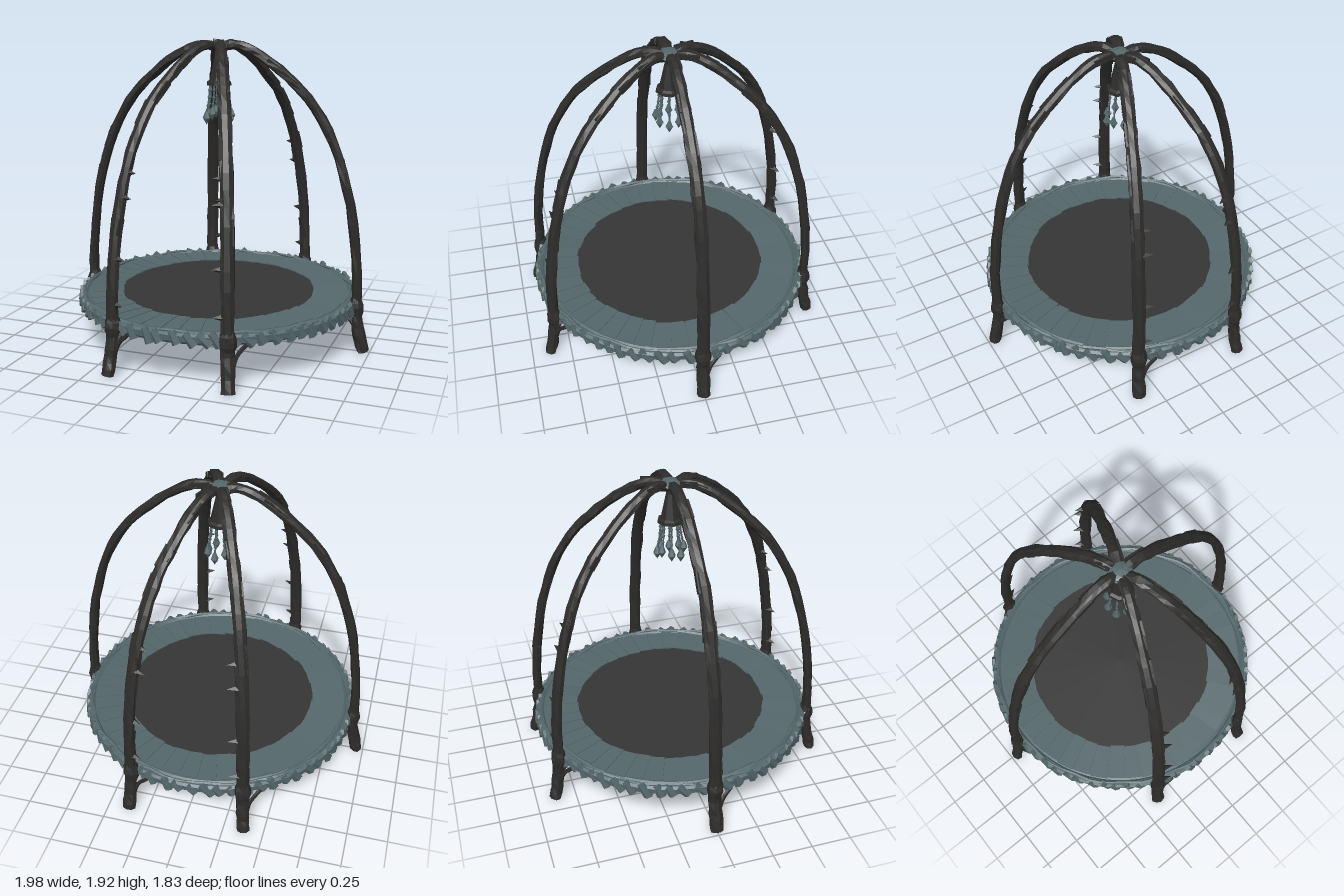
import * as THREE from 'three';

const wood = new THREE.MeshStandardMaterial({ color: 0x2d2c2b });
const leaf = new THREE.MeshStandardMaterial({ color: 0x54676a });
const fabric = new THREE.MeshStandardMaterial({ color: 0x353535 });
wood.name = 'dark bark';
leaf.name = 'grey teal leaf';
fabric.name = 'charcoal fabric';

// Small seeded generator for the hand-carved irregularity
let seed = 7;
const rand = (a, b) => {
  seed = (seed * 16807) % 2147483647;
  return a + (b - a) * (seed / 2147483647);
};

// Faceted mesh: unshared corners give flat faces
function part(name, geo, mat, parent, pos = [0, 0, 0], rot = [0, 0, 0]) {
  const g = geo.index ? geo.toNonIndexed() : geo;
  g.computeVertexNormals();
  const mesh = new THREE.Mesh(g, mat);
  mesh.name = name;
  mesh.position.set(...pos);
  mesh.rotation.set(...rot);
  parent.add(mesh);
  return mesh;
}

// Knobbly branch: sweeps an uneven polygon along a curve; size(t) = [in-plane, sideways] radius
function branch(points, size, rings, sides, wobble) {
  const curve = new THREE.CatmullRomCurve3(points.map((p) => new THREE.Vector3(...p)));
  const pos = [], idx = [];
  const up = new THREE.Vector3(0, 0, 1);
  const first = curve.getTangent(0);
  if (Math.abs(first.z) > 0.5) up.set(1, 0, 0);
  for (let i = 0; i <= rings; i++) {
    const t = i / rings;
    const c = curve.getPoint(t), tan = curve.getTangent(t);
    const n = new THREE.Vector3().crossVectors(up, tan).normalize();
    const b = new THREE.Vector3().crossVectors(tan, n);
    const [rn, rb] = size(t);
    for (let j = 0; j < sides; j++) {
      const a = (j / sides) * Math.PI * 2 + 0.3;
      const k = 1 + rand(-wobble, wobble);
      const v = c.clone().addScaledVector(n, Math.cos(a) * rn * k).addScaledVector(b, Math.sin(a) * rb * k);
      pos.push(v.x, Math.max(0, v.y), v.z);
    }
  }
  for (let i = 0; i < rings; i++) {
    for (let j = 0; j < sides; j++) {
      const a = i * sides + j, b = i * sides + ((j + 1) % sides);
      idx.push(a, b, a + sides, b, b + sides, a + sides);
    }
  }
  // end caps
  const last = rings * sides;
  for (let j = 1; j < sides - 1; j++) {
    idx.push(0, j + 1, j, last, last + j, last + j + 1);
  }
  const g = new THREE.BufferGeometry();
  g.setAttribute('position', new THREE.Float32BufferAttribute(pos, 3));
  g.setIndex(idx);
  return g;
}

// One curved rib with its foot, bracket and thorns, built along +x
const ribPath = [[0.957, 0, 0], [0.925, 0.13, 0], [0.912, 0.3, 0], [0.9, 0.6, 0], [0.835, 1.0, 0], [0.74, 1.3, 0],
  [0.6, 1.54, 0], [0.45, 1.69, 0], [0.27, 1.825, 0], [0.12, 1.885, 0], [0.02, 1.87, 0]];

function addRib(parent, degrees) {
  const rib = new THREE.Group();
  rib.name = 'rib';
  const a = THREE.MathUtils.degToRad(degrees);
  rib.rotation.y = a;
  const size = (t) => [t < 0.12 ? 0.037 : 0.029, 0.043 - 0.007 * t];
  part('ribBranch', branch(ribPath, size, 34, 8, 0.13), wood, rib);

  // knuckle where the rib grips the rim
  part('rimKnuckle', branch([[0.915, 0.23, 0], [0.91, 0.29, 0], [0.905, 0.35, 0]],
    (t) => [0.03 + 0.016 * Math.sin(t * Math.PI), 0.04 + 0.012 * Math.sin(t * Math.PI)], 4, 7, 0.08), wood, rib);

  // brackets under the bed: one sideways, one inward
  const thin = () => [0.011, 0.014];
  part('sideBracket', branch([[0.92, 0.12, -0.025], [0.91, 0.2, -0.05], [0.89, 0.265, -0.11]], thin, 6, 5, 0.1), wood, rib);
  part('innerBracket', branch([[0.915, 0.13, 0], [0.87, 0.2, 0], [0.79, 0.26, 0]], thin, 6, 5, 0.1), wood, rib);

  // thorns on the slanting ribs
  const side = -Math.sign(Math.round(Math.cos(a) * Math.sin(a) * 100));
  if (side) {
    for (const [r, y, s] of [[0.905, 0.43, 1], [0.885, 0.7, 1.1], [0.825, 1.05, 1], [0.78, 1.19, 0.8]]) {
      const g = new THREE.ConeGeometry(0.022 * s, 0.065 * s, 4);
      part('thorn', g, wood, rib, [r, y, side * 0.056], [side * Math.PI / 2, 0, 0]);
    }
  }
  // bark slivers
  const curve = new THREE.CatmullRomCurve3(ribPath.map((p) => new THREE.Vector3(...p)));
  for (let i = 0; i < 12; i++) {
    const t = rand(0.15, 0.93), c = curve.getPoint(t), d = curve.getTangent(t);
    const z = (i % 2 ? 1 : -1) * rand(0.024, 0.032);
    part('barkSliver', new THREE.BoxGeometry(0.035, rand(0.08, 0.15), 0.014), wood, rib,
      [c.x, c.y, z], [rand(-0.05, 0.05), 0, Math.atan2(-d.x, d.y) + rand(-0.08, 0.08)]);
  }
  parent.add(rib);
}

function addBed(parent) {
  const bed = new THREE.Group();
  bed.name = 'bed';
  const V = (x, y) => new THREE.Vector2(x, y);
  // padded ring
  const profile = [V(0.6, 0.255), V(0.87, 0.255), V(0.897, 0.275), V(0.9, 0.31), V(0.885, 0.322),
    V(0.86, 0.322), V(0.85, 0.31), V(0.838, 0.318), V(0.61, 0.314)];
  part('paddedRing', new THREE.LatheGeometry(profile, 60), leaf, bed);
  // jumping mat, top and underside
  part('mat', new THREE.CircleGeometry(0.63, 36), fabric, bed, [0, 0.315, 0], [-Math.PI / 2, 0, 0]);
  part('matUnderside', new THREE.CircleGeometry(0.73, 10), fabric, bed, [0, 0.251, 0], [Math.PI / 2, 0, 0]);

  // overlapping leaf panels on the ring, each slightly tilted
  const panels = 44;
  for (let i = 0; i < panels; i++) {
    const w = rand(0.9, 1.2) * Math.PI / panels;
    const r0 = rand(0.615, 0.63), r1 = rand(0.825, 0.845);
    const s = new THREE.Shape([V(r0 * Math.cos(w), -r0 * Math.sin(w)), V(r1 * Math.cos(w), -r1 * Math.sin(w)),
      V(r1, 0), V(r1 * Math.cos(w), r1 * Math.sin(w)), V(r0 * Math.cos(w), r0 * Math.sin(w))]);
    const g = new THREE.ExtrudeGeometry(s, { depth: 0.006, bevelEnabled: false });
    g.rotateX(-Math.PI / 2);
    g.rotateX(rand(0.03, 0.09));
    part('leafPanel', g, leaf, bed, [0, 0.317, 0], [0, (i / panels) * Math.PI * 2, 0]);
  }
  // wrapped leaves around the rim
  const wraps = 66;
  for (let i = 0; i < wraps; i++) {
    const a = ((i + rand(-0.2, 0.2)) / wraps) * Math.PI * 2;
    const g = new THREE.CylinderGeometry(0.026, 0.033, rand(0.07, 0.1), 5);
    g.scale(0.6, 1, 1);
    const r = rand(0.884, 0.895);
    part('rimWrap', g, leaf, bed, [r * Math.cos(a), rand(0.285, 0.295), -r * Math.sin(a)],
      [0, a, 0]).rotateX(rand(0.35, 0.9));
  }
  // thin vine along the rim
  const vine = [];
  for (let i = 0; i < 48; i++) {
    const a = (i / 48) * Math.PI * 2, r = 0.868 + 0.008 * Math.sin(i * 2.1);
    vine.push(new THREE.Vector3(r * Math.cos(a), 0.32 + 0.006 * Math.sin(i * 1.7), r * Math.sin(a)));
  }
  part('rimVine', new THREE.TubeGeometry(new THREE.CatmullRomCurve3(vine, true), 96, 0.011, 5, true), leaf, bed);
  parent.add(bed);
}

function addLamp(parent) {
  const lamp = new THREE.Group();
  lamp.name = 'hangingLamp';
  // leafy knot where the ribs meet
  const knot = new THREE.IcosahedronGeometry(0.075, 1);
  knot.scale(1, 0.42, 1);
  part('crownKnot', knot, leaf, lamp, [0, 1.878, 0]);
  // flared shade
  const shade = [[0, 1.88], [0, 1.65], [0.05, 1.645], [0.082, 1.635], [0.08, 1.655], [0.062, 1.665], [0.028, 1.82], [0.03, 1.88]]
    .slice(1).map(([r, y]) => new THREE.Vector2(r, y));
  part('shade', new THREE.LatheGeometry(shade, 8), wood, lamp);
  // beaded strands ending in crystals
  for (let i = 0; i < 8; i++) {
    const a = (i / 8) * Math.PI * 2 + 0.2, c = Math.cos(a), s = Math.sin(a);
    const end = 1.45 + (i % 3) * 0.016;
    const path = [[0.058 * c, 1.65, 0.058 * s], [0.064 * c, 1.56, 0.064 * s], [0.079 * c, end, 0.079 * s]];
    const curve = new THREE.CatmullRomCurve3(path.map((p) => new THREE.Vector3(...p)));
    part('strand', new THREE.TubeGeometry(curve, 4, 0.006, 4), leaf, lamp);
    for (const t of [0.25, 0.5, 0.75]) {
      const bead = new THREE.OctahedronGeometry(0.011);
      bead.scale(1, 1.9, 1);
      part('bead', bead, leaf, lamp, curve.getPoint(t).toArray());
    }
    const crystal = new THREE.CylinderGeometry(0.009, 0.025, 0.04, 5);
    part('crystalTop', crystal, leaf, lamp, [0.081 * c, end, 0.081 * s]);
    part('crystalTip', new THREE.ConeGeometry(0.025, 0.042, 5), leaf, lamp,
      [0.081 * c, end - 0.041, 0.081 * s], [Math.PI, 0, 0]);
  }
  parent.add(lamp);
}

export function createModel() {
  const model = new THREE.Group();
  model.name = 'domedTrampoline';
  for (const degrees of [0, 67, 113, 180, 247, 293]) addRib(model, degrees);
  addBed(model);
  addLamp(model);
  return model;
}
